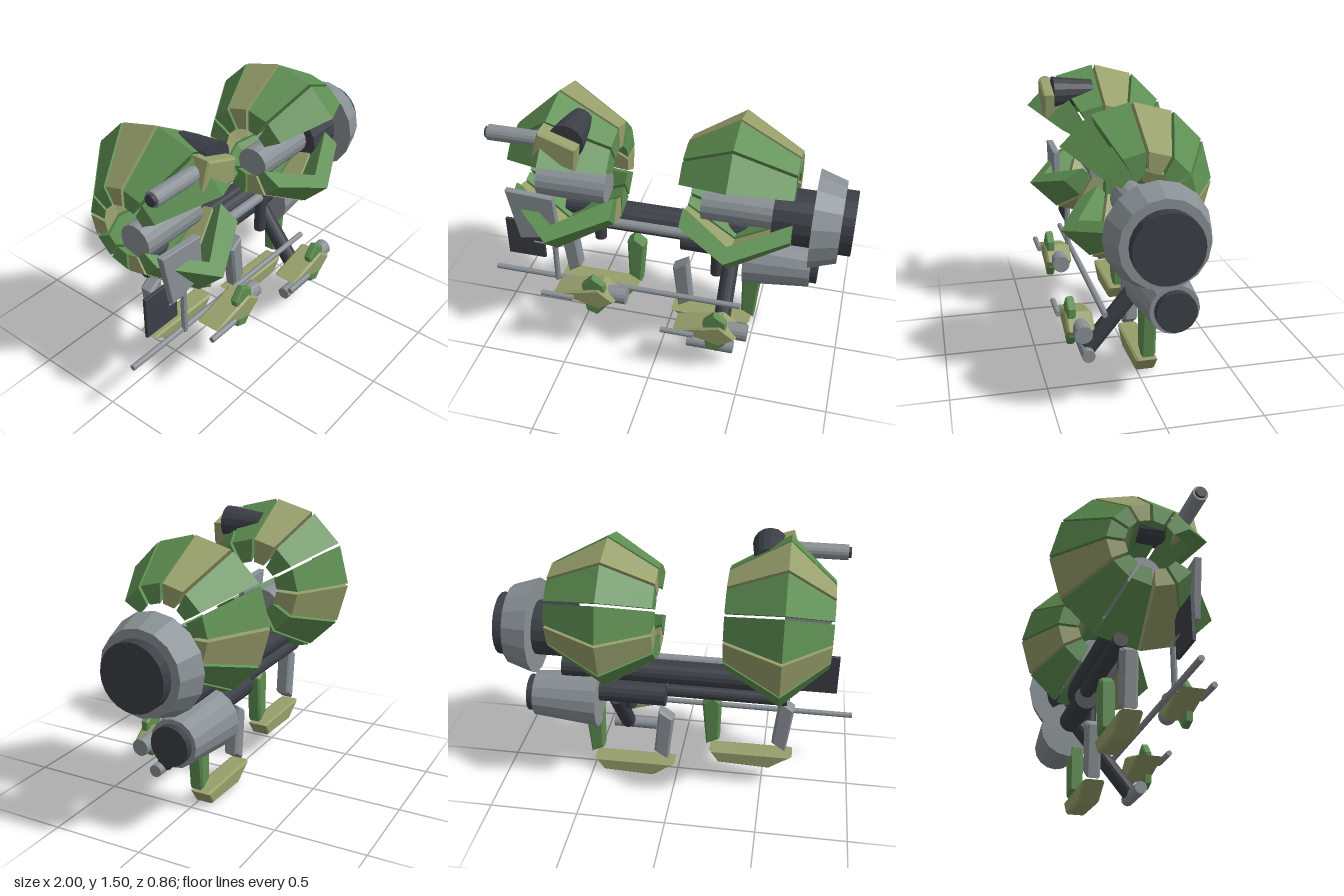
import * as THREE from 'three';

const paint = (name, color) => {
  const m = new THREE.MeshStandardMaterial({ color, flatShading: true });
  m.name = name;
  return m;
};

export function createModel() {
  const root = new THREE.Group();
  root.name = 'armouredCraft';
  const green = paint('green', 0x5e8f52);
  const olive = paint('olive', 0x979f6b);
  const grey = paint('grey', 0x899095);
  const dark = paint('dark', 0x3b3f46);

  const add = (name, geometry, material) => {
    const mesh = new THREE.Mesh(geometry, material);
    mesh.name = name;
    root.add(mesh);
    return mesh;
  };

  // Cylinder or cone between two points
  const rod = (name, material, a, b, ra, rb = ra, sides = 16) => {
    const p = new THREE.Vector3(...a), q = new THREE.Vector3(...b);
    const d = q.clone().sub(p);
    const mesh = add(name, new THREE.CylinderGeometry(rb, ra, d.length(), sides), material);
    mesh.position.copy(p).add(q).multiplyScalar(0.5);
    mesh.quaternion.setFromUnitVectors(new THREE.Vector3(0, 1, 0), d.normalize());
    return mesh;
  };

  // Bevelled plate with an x-y outline, from z0 to z1
  const plate = (name, material, points, z0, z1, bevel = 0.012, dx = 0, dy = 0) => {
    const shape = new THREE.Shape(points.map(([x, y]) => new THREE.Vector2(x, y)));
    const geometry = new THREE.ExtrudeGeometry(shape, {
      depth: z1 - z0 - 2 * bevel, bevelSize: bevel, bevelThickness: bevel,
      bevelOffset: -bevel, bevelSegments: 1,
    });
    add(name, geometry, material).position.set(dx, dy, z0 + bevel);
  };

  // One armour segment: a six-point (x, radius) profile swept between two angles
  const CY = 1.045, CZ = 0.025, GAP = 0.008;
  const armourSegment = (profile, a, b) => {
    const ring = (t, side) => profile.map(([x, r]) => [
      x,
      CY + r * Math.cos(t) - side * GAP * Math.sin(t),
      CZ - r * Math.sin(t) - side * GAP * Math.cos(t),
    ]);
    const p = ring(a, 1), q = ring(b, -1), out = [];
    const quad = (i, j, k, l) => out.push(...i, ...j, ...k, ...i, ...k, ...l);
    for (let i = 0; i < 6; i++) {
      const j = (i + 1) % 6;
      quad(p[i], p[j], q[j], q[i]);
    }
    quad(p[0], p[5], p[4], p[1]);
    quad(p[1], p[4], p[3], p[2]);
    quad(q[0], q[1], q[4], q[5]);
    quad(q[1], q[2], q[3], q[4]);
    const g = new THREE.BufferGeometry();
    g.setAttribute('position', new THREE.Float32BufferAttribute(out, 3));
    g.computeVertexNormals();
    return g;
  };

  // Two ribbed shells, each open at the front
  const shells = [
    { x: [-0.83, -0.58, -0.27], r: [0.235, 0.462, 0.28] },
    { x: [0.107, 0.375, 0.69], r: [0.26, 0.424, 0.25] },
  ];
  for (const { x, r } of shells) {
    const profile = [
      [x[0], r[0]], [x[1], r[1]], [x[2], r[2]],
      [x[2], 0.15], [x[1], r[1] - 0.1], [x[0], 0.14],
    ];
    for (let i = -2; i < 8; i++) {
      const a = i * Math.PI / 6;
      add('armourSegment', armourSegment(profile, a, a + Math.PI / 6),
        [0, 3, 6].includes(i) ? olive : green);
    }
  }

  // Shell cores
  rod('leftCore', grey, [0.19, 0.92, 0], [0.59, 0.92, 0], 0.095);
  rod('rightCore', grey, [-0.75, 0.92, 0], [-0.35, 0.92, 0], 0.095);

  // Main engine
  rod('mainEngineShaft', dark, [0.58, 0.91, 0], [0.8, 0.91, 0], 0.155);
  rod('mainEngineNozzle', grey, [0.79, 0.92, 0], [0.935, 0.92, 0], 0.268, 0.222);
  rod('mainEngineExhaust', dark, [0.93, 0.92, 0], [1, 0.92, 0], 0.175, 0.175, 24);

  // Lower engine
  rod('lowerEngineShaft', dark, [0.055, 0.58, -0.08], [0.44, 0.58, -0.08], 0.065);
  rod('lowerEngineNozzle', grey, [0.43, 0.53, -0.09], [0.8, 0.53, -0.09], 0.164, 0.128);
  rod('lowerEngineExhaust', dark, [0.79, 0.53, -0.09], [0.84, 0.53, -0.09], 0.104, 0.104, 24);

  // Beams that join the shells
  rod('mainBeam', dark, [-0.62, 0.72, -0.07], [0.64, 0.72, -0.07], 0.062);
  rod('middleBeam', dark, [-0.35, 0.715, -0.03], [0.185, 0.715, -0.03], 0.055);
  rod('lowerBeam', dark, [-0.62, 0.615, -0.08], [0.045, 0.615, -0.08], 0.038);
  rod('upperPipe', grey, [-0.35, 0.73, 0.063], [0.18, 0.73, 0.063], 0.028);
  rod('rightPost', dark, [-0.41, 0.74, 0], [-0.41, 0.565, 0], 0.034);
  rod('leftPost', dark, [0.275, 0.74, 0], [0.275, 0.43, 0], 0.034);

  // Front strut and its foot
  rod('frontStrut', dark, [0.35, 0.52, -0.05], [0.35, 0.145, 0.255], 0.047);
  rod('strutFoot', grey, [0.17, 0.13, 0.265], [0.435, 0.13, 0.265], 0.036);

  // Side plates, hanger and long rod
  plate('sidePlate', dark, [[-0.9, 0.75], [-0.68, 0.75], [-0.68, 0.51], [-0.9, 0.51]], 0.18, 0.2, 0.002);
  plate('frontShield', grey, [[-0.845, 1.0], [-0.575, 0.985], [-0.56, 0.735], [-0.785, 0.69]], 0.235, 0.275, 0.004);
  rod('hangerBracket', grey, [-0.74, 0.615, 0.19], [-0.61, 0.615, 0.19], 0.013, 0.013, 8);
  rod('hanger', grey, [-0.62, 0.63, 0.19], [-0.62, 0.36, 0.19], 0.017, 0.017, 8);
  rod('longRod', grey, [-1, 0.37, 0.18], [0.45, 0.37, 0.18], 0.016, 0.016, 10);

  // Skids with their legs, and the small guns: left set, then a higher right set
  const skid = [[0.01, 0.1], [0.485, 0.1], [0.43, 0.02], [0.14, 0.008]];
  const greyLeg = [[0.015, 0.41], [0.1, 0.465], [0.13, 0.175], [0.05, 0.12]];
  const greenLeg = [[0.425, 0.42], [0.465, 0.46], [0.53, 0.41], [0.505, 0.13], [0.43, 0.17]];
  const gunBody = [[-0.235, 0], [-0.06, 0.05], [0.03, 0.072], [0.12, 0], [0.03, -0.072], [-0.07, -0.045]];
  const gunFin = [[-0.07, 0.08], [-0.01, 0.147], [0.06, 0.1], [0.06, -0.06], [0.01, -0.122], [-0.05, -0.1]];
  for (const [dx, dy, gx, gy] of [[0, 0, 0.345, 0.298], [-0.68, 0.13, -0.34, 0.42]]) {
    plate('skid', olive, skid, -0.1, 0.015, 0.012, dx, dy);
    plate('greyLeg', grey, greyLeg, -0.08, 0, 0.012, dx, dy);
    plate('greenLeg', green, greenLeg, -0.08, 0, 0.012, dx, dy);
    plate('gunBody', olive, gunBody, 0.235, 0.38, 0.012, gx, gy);
    plate('gunFin', green, gunFin, 0.325, 0.37, 0.008, gx, gy);
    rod('gunRear', grey, [gx + 0.05, gy, 0.305], [gx + 0.17, gy, 0.305], 0.048);
    rod('gunBarrel', grey, [gx - 0.3, gy, 0.392], [gx - 0.115, gy, 0.392], 0.016, 0.016, 10);
  }

  // Turret on the right shell
  rod('turretDrum', dark, [-0.465, 1.37, 0.06], [-0.465, 1.37, 0.288], 0.07, 0.095);
  plate('turretBody', olive, [[-0.59, 1.44], [-0.39, 1.37], [-0.405, 1.24], [-0.635, 1.295]], 0.235, 0.35, 0.01);
  rod('turretBarrel', grey, [-0.885, 1.357, 0.27], [-0.58, 1.357, 0.27], 0.042);
  rod('turretMuzzle', dark, [-0.9, 1.357, 0.27], [-0.88, 1.357, 0.27], 0.03);

  return root;
}
